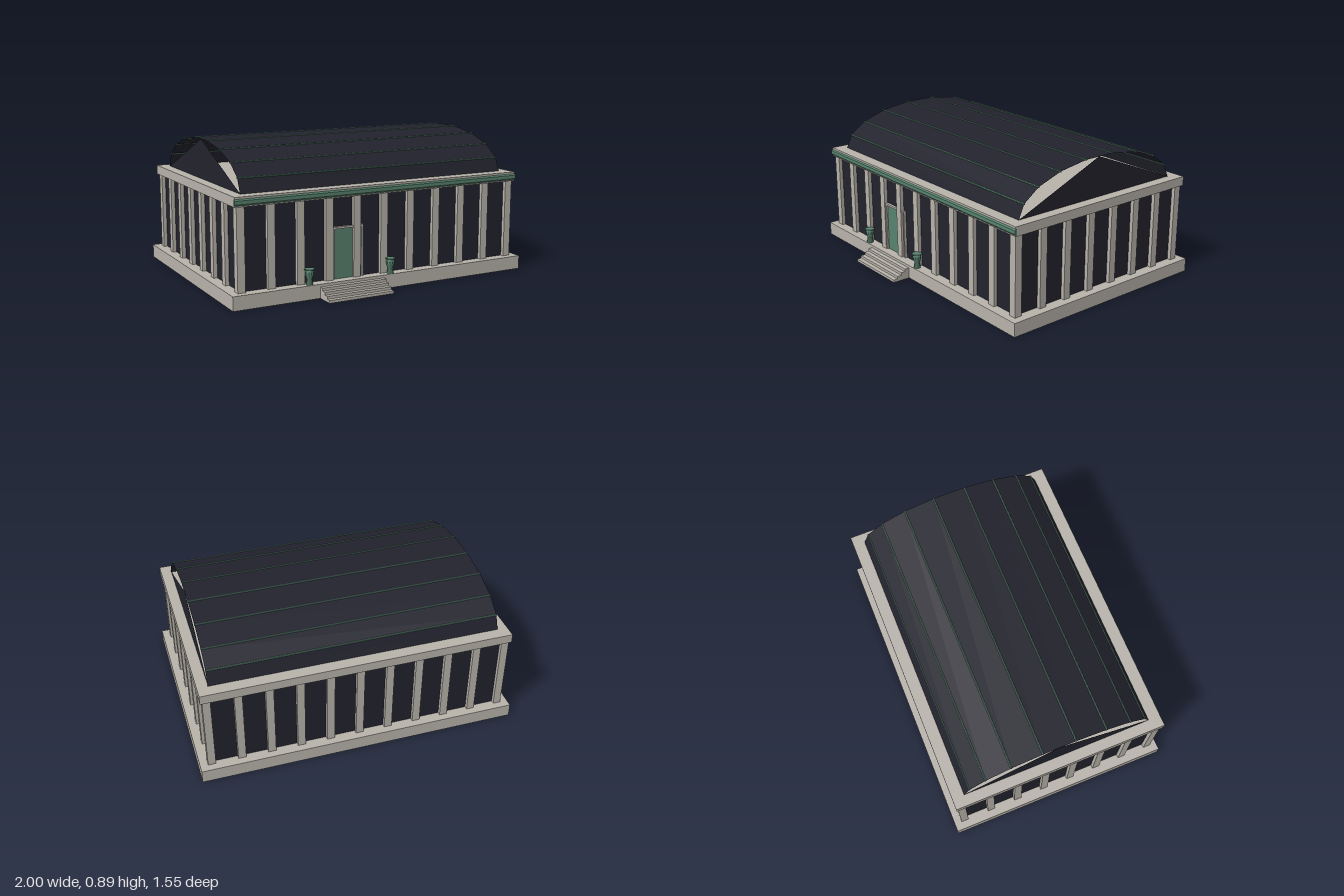
import * as THREE from 'three';

const stone = new THREE.MeshStandardMaterial({ color: 0xb8b3ab });
stone.name = 'stone';
const dark = new THREE.MeshStandardMaterial({ color: 0x22222d, side: THREE.DoubleSide });
dark.name = 'darkSlate';
const green = new THREE.MeshStandardMaterial({ color: 0x58826f });
green.name = 'patinaGreen';

export function createModel() {
  const model = new THREE.Group();

  const add = (name, geometry, material, x = 0, y = 0, z = 0) => {
    const mesh = new THREE.Mesh(geometry, material);
    mesh.name = name;
    mesh.position.set(x, y, z);
    model.add(mesh);
    return mesh;
  };
  // box given by its minimum and maximum corners
  const block = (name, material, [x0, y0, z0], [x1, y1, z1]) =>
    add(name, new THREE.BoxGeometry(x1 - x0, y1 - y0, z1 - z0), material,
      (x0 + x1) / 2, (y0 + y1) / 2, (z0 + z1) / 2);
  const faceted = (geometry) => {
    const g = geometry.toNonIndexed();
    g.computeVertexNormals();
    return g;
  };

  const floor = 0.085, eaves = 0.577, deck = 0.635;
  const entryX = -0.24, midZ = -0.057;
  const colX = 0.928, colFront = 0.593, colBack = -0.705;

  // plinth, walls and entablature
  block('plinth', stone, [-1, 0, -0.775], [1, floor, 0.66]);
  block('walls', dark, [-colX, floor, colBack], [colX, eaves, colFront]);
  block('entablature', stone, [-0.965, eaves, -0.74], [0.965, deck, 0.628]);

  // entrance steps
  for (let i = 0; i < 4; i++) {
    block('step', stone, [entryX - 0.215, 0, 0.65],
      [entryX + 0.215, 0.017 * (i + 1), 0.775 - 0.0288 * i]);
  }

  // square columns on all four sides
  const columnGeometry = new THREE.BoxGeometry(0.048, eaves - floor, 0.048);
  const column = (x, z) => add('column', columnGeometry, stone, x, (floor + eaves) / 2, z);
  for (let i = 0; i < 11; i++) {
    const x = -colX + (2 * colX * i) / 10;
    column(x, colFront);
    column(x, colBack);
  }
  for (let i = 1; i < 7; i++) {
    const z = colBack + ((colFront - colBack) * i) / 7;
    column(-colX, z);
    column(colX, z);
  }

  // chamfered moulding along the front
  const profile = new THREE.Shape([
    [-0.62, 0.584], [-0.628, 0.584], [-0.635, 0.593], [-0.635, 0.614], [-0.628, 0.623], [-0.62, 0.623],
  ].map(([x, y]) => new THREE.Vector2(x, y)));
  const moulding = new THREE.ExtrudeGeometry(profile, { depth: 1.936, bevelEnabled: false });
  moulding.rotateY(Math.PI / 2);
  add('frontMoulding', moulding, green, -0.968);

  // door with stone frame
  const doorX = -0.243;
  block('door', green, [doorX - 0.095, floor, 0.585], [doorX + 0.095, 0.389, 0.6]);
  for (const s of [-1, 1]) {
    add('doorJamb', new THREE.BoxGeometry(0.01, 0.313, 0.025), stone,
      doorX + s * 0.099, floor + 0.1565, 0.5975);
  }
  block('doorLintel', stone, [doorX - 0.104, 0.388, 0.585], [doorX + 0.104, 0.4, 0.61]);

  // urns beside the steps
  const urn = faceted(new THREE.LatheGeometry([
    [0, 0], [0.022, 0], [0.02, 0.015], [0.016, 0.035], [0.026, 0.062], [0.027, 0.078],
    [0.024, 0.086], [0.031, 0.09], [0.031, 0.095], [0, 0.095],
  ].map(([r, y]) => new THREE.Vector2(r, y)), 10));
  for (const s of [-1, 1]) add('urn', urn, green, entryX + s * 0.273, floor, 0.636);

  // open vaulted roof of nine flat strips
  const halfX = 0.9, rise = 0.25, halfZ = 0.607, strips = 9;
  const vault = new THREE.CylinderGeometry(1, 1, 2 * halfX, strips, 1, true, 0, Math.PI);
  vault.rotateZ(Math.PI / 2);
  vault.scale(1, rise, halfZ);
  add('vaultedRoof', faceted(vault), dark, 0, deck, midZ);

  // thin seam ribs on the roof folds
  const ribGeometry = new THREE.CylinderGeometry(0.005, 0.005, 2 * halfX + 0.004, 6);
  ribGeometry.rotateZ(Math.PI / 2);
  for (let i = 1; i < strips; i++) {
    const a = (Math.PI * i) / strips;
    add('roofRib', ribGeometry, green, 0, deck + rise * Math.sin(a), midZ + halfZ * Math.cos(a));
  }

  // triangular gable panels at both ends
  const gable = new THREE.ShapeGeometry(new THREE.Shape([
    new THREE.Vector2(-halfZ, 0), new THREE.Vector2(halfZ, 0), new THREE.Vector2(0, rise - 0.003),
  ]));
  for (const s of [-1, 1]) {
    add('gable', gable, dark, s * (halfX - 0.002), deck, midZ).rotation.y = (s * Math.PI) / 2;
  }

  return model;
}
